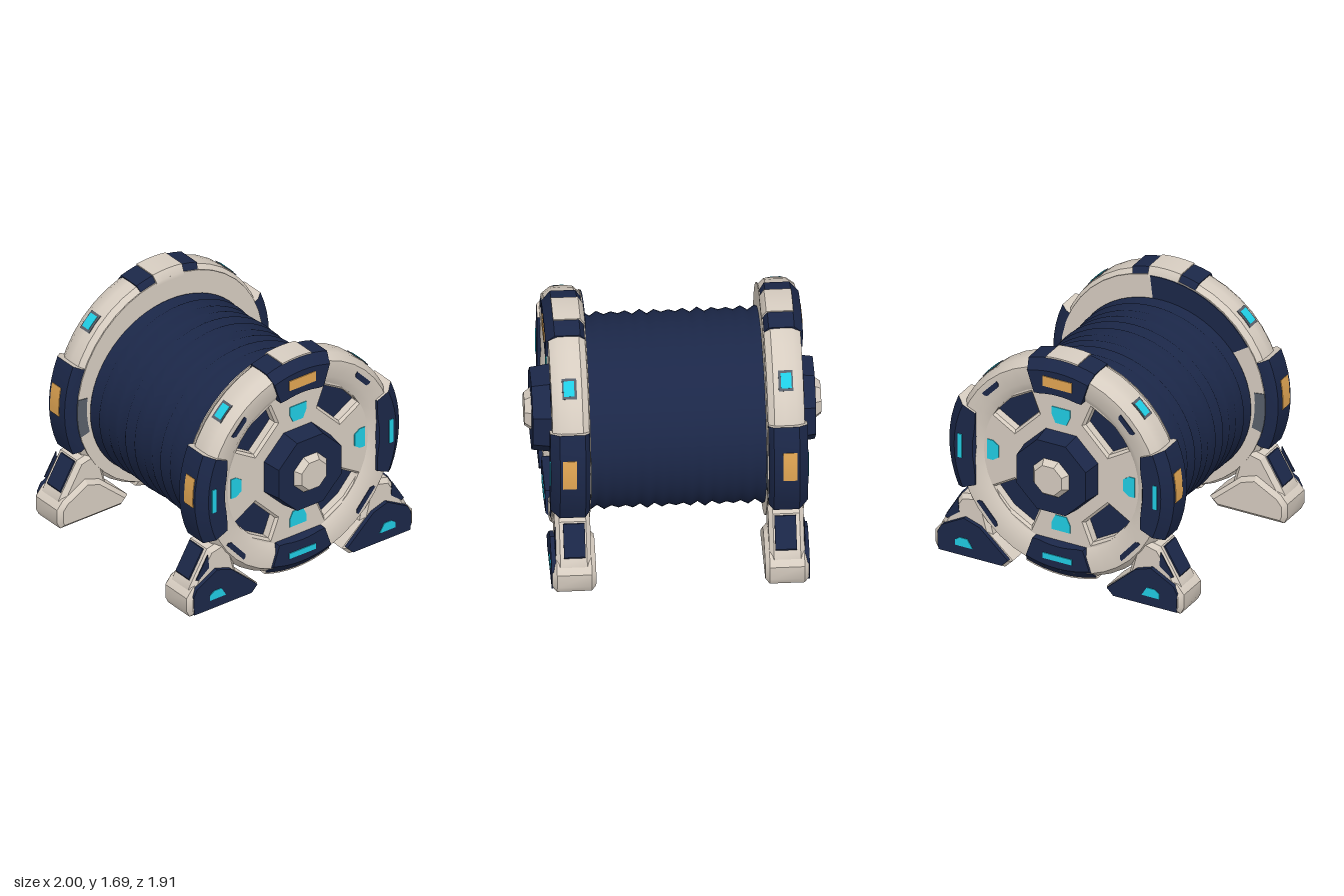
import * as THREE from 'three';
import { toCreasedNormals } from 'three/addons/utils/BufferGeometryUtils.js';

const CY = 0.86; // wheel centre height

const material = (name, color) => Object.assign(new THREE.MeshStandardMaterial({ color }), { name });

function mesh(parent, name, geometry, mat) {
  const m = new THREE.Mesh(geometry, mat);
  m.name = name;
  parent.add(m);
  return m;
}

// Closed outline of [z, y] points (with optional holes) extruded from x0 to x1
function slab(points, x0, x1, bevel = 0, holes = []) {
  const toV = ([z, y]) => new THREE.Vector2(-z, y);
  const shape = new THREE.Shape(points.map(toV));
  shape.holes = holes.map((h) => new THREE.Path(h.map(toV)));
  const g = new THREE.ExtrudeGeometry(shape, {
    depth: x1 - x0 - 2 * bevel, bevelEnabled: bevel > 0, bevelThickness: bevel,
    bevelSize: bevel, bevelOffset: -bevel, bevelSegments: 1,
  });
  g.translate(0, 0, x0 + bevel).rotateY(Math.PI / 2);
  return toCreasedNormals(g, 0.5);
}

// Profile of [radius, x] points swept round the wheel axle; angles in degrees from the top.
// A straight value cuts the inner edge along a line at that distance from the axle.
function sweep(profile, mid, half, steps, straight = 0) {
  const shape = new THREE.Shape(profile.map(([r, x]) => new THREE.Vector2(r, x)));
  const g = new THREE.ExtrudeGeometry(shape, { depth: 1, steps, bevelEnabled: false });
  const p = g.attributes.position;
  for (let i = 0; i < p.count; i++) {
    const off = THREE.MathUtils.degToRad(half * (2 * p.getZ(i) - 1));
    const a = THREE.MathUtils.degToRad(mid) + off;
    const r = Math.max(p.getX(i), straight / Math.cos(off));
    p.setXYZ(i, p.getY(i), CY + r * Math.cos(a), -r * Math.sin(a));
  }
  return toCreasedNormals(g, 0.6);
}

// Eight-sided frustum along x
function octagon(r0, r1, x0, x1) {
  const k = 1 / Math.cos(Math.PI / 8);
  const g = new THREE.CylinderGeometry(r1 * k, r0 * k, x1 - x0, 8, 1).toNonIndexed();
  g.rotateY(Math.PI / 8).rotateZ(-Math.PI / 2).translate((x0 + x1) / 2, CY - 0.007, 0);
  g.computeVertexNormals();
  return g;
}

// Bevelled cross-section of a raised rim plate
const plateProfile = (inner, outer, x) => [
  [inner, 0.62], [inner + 0.05, 0.602], [outer - 0.05, 0.602], [outer, 0.635],
  [outer, x - 0.06], [outer - 0.07, x], [inner + 0.02, x], [inner, x - 0.03],
];
// Light cover over the tread and inner bevel of a plate
const coverProfile = (r) => [[r - 0.08, 0.594], [r - 0.05, 0.594], [r, 0.627], [r, 0.81], [r - 0.03, 0.81]];
const band = (r0, r1, x0, x1) => [[r0, x0], [r1, x0], [r1, x1], [r0, x1]];

// Turned hexagonal mark: radius out from the axle, angle from the top
function mark(angle, r, wide, high, taper = 1) {
  const a = THREE.MathUtils.degToRad(angle), c = Math.cos(a), s = Math.sin(a);
  return [[-wide * taper, -high], [wide * taper, -high], [wide, 0], [wide, high], [-wide, high], [-wide, 0]]
    .map(([u, v]) => [u * c - (r + v) * s, CY + u * s + (r + v) * c]);
}

function buildFoot(wheel, s, M) {
  const foot = new THREE.Group();
  foot.name = s > 0 ? 'frontFoot' : 'backFoot';
  wheel.add(foot);
  const flip = (pts) => pts.map(([z, y]) => [z * s, y]);
  mesh(foot, 'footBase', slab(flip([
    [0.36, 0.06], [0.42, 0], [0.93, 0], [0.955, 0.05], [0.955, 0.15], [0.905, 0.21], [0.72, 0.31], [0.6, 0.27],
  ]), 0.57, 0.865, 0.03), M.cream);
  mesh(foot, 'footStrut', slab(flip([
    [0.5, 0.1], [0.93, 0.1], [0.92, 0.2], [0.885, 0.26], [0.765, 0.46], [0.6, 0.5],
  ]), 0.6, 0.84, 0.03), M.cream);
  mesh(foot, 'strutPanel', slab(flip([
    [0.8, 0.24], [0.89, 0.24], [0.899, 0.26], [0.783, 0.455], [0.74, 0.44],
  ]), 0.64, 0.785), M.navy);
  mesh(foot, 'strutSidePanel', slab(flip([
    [0.77, 0.33], [0.86, 0.26], [0.88, 0.27], [0.78, 0.435],
  ]), 0.837, 0.844), M.navy);
  mesh(foot, 'footPanel', slab(flip([
    [0.38, 0.07], [0.43, 0.02], [0.915, 0.02], [0.92, 0.16], [0.89, 0.215], [0.72, 0.308], [0.6, 0.268],
  ]), 0.835, 0.87), M.navy);
  mesh(foot, 'footLight', slab(flip([
    [0.65, 0.09], [0.785, 0.09], [0.785, 0.13], [0.75, 0.155], [0.69, 0.155],
  ]), 0.868, 0.875), M.cyan);
}

function buildWheel(M) {
  const wheel = new THREE.Group();
  mesh(wheel, 'rim', sweep([
    [0.59, 0.62], [0.77, 0.602], [0.81, 0.645], [0.815, 0.72], [0.81, 0.795], [0.77, 0.85],
    [0.65, 0.85], [0.59, 0.812],
  ], 0, 180, 40), M.cream);
  mesh(wheel, 'innerRing', sweep(band(0.56, 0.785, 0.595, 0.603), 0, 180, 40), M.cream);

  // Spoke disc with four bevelled openings over a dark floor
  const circle = (r) => Array.from({ length: 40 }, (_, i) =>
    [r * Math.cos(i * Math.PI / 20), CY + r * Math.sin(i * Math.PI / 20)]);
  const holes = [];
  for (const sz of [1, -1]) for (const sy of [1, -1]) {
    const hole = [[0.235, 0.515], [0.18, 0.375], [0.36, 0.19], [0.52, 0.285], [0.40, 0.42]]
      .map(([z, y]) => [z * sz, CY + y * sy]);
    holes.push(sz * sy > 0 ? hole.reverse() : hole);
  }
  mesh(wheel, 'spokes', slab(circle(0.64), 0.65, 0.815, 0.018, holes), M.cream);
  mesh(wheel, 'recessFloor', slab(circle(0.6), 0.61, 0.74), M.navy);

  // Hub and cap
  mesh(wheel, 'hub', octagon(0.287, 0.265, 0.79, 0.955), M.navy);
  mesh(wheel, 'hubCap', octagon(0.14, 0.105, 0.95, 1.0), M.cream);

  // Raised plates on the rim: top, bottom, front and back
  mesh(wheel, 'topPlate', sweep(plateProfile(0.56, 0.824, 0.868), 0, 18, 8, 0.56), M.navy);
  mesh(wheel, 'topCover', sweep(coverProfile(0.833), 0, 8.5, 4), M.cream);
  mesh(wheel, 'topLight', slab(mark(0, 0.67, 0.112, 0.038), 0.865, 0.874), M.orange);
  mesh(wheel, 'bottomPlate', sweep(plateProfile(0.56, 0.818, 0.868), 180, 19, 8, 0.56), M.navy);
  mesh(wheel, 'bottomCover', sweep(coverProfile(0.826), 180, 19.3, 8), M.cream);
  mesh(wheel, 'bottomLight', slab(mark(180, 0.67, 0.112, 0.021), 0.865, 0.874), M.cyan);
  for (const side of [90, -90]) {
    // Plate ends are cream, the rest navy
    mesh(wheel, 'sidePlate', sweep(plateProfile(0.635, 0.865, 0.868), side, 23.5, 8, 0.635), [M.cream, M.navy]);
    mesh(wheel, 'sideSlot', slab(mark(side, 0.75, 0.09, 0.017), 0.865, 0.874), M.cyan);
    mesh(wheel, 'sideLight', sweep(
      [[0.861, 0.695], [0.869, 0.695], [0.869, 0.79], [0.861, 0.79]], side - Math.sign(side) * 4, 7.3, 4), M.orange);
    mesh(wheel, 'innerPatch', sweep(band(0.71, 0.79, 0.59, 0.597), side + Math.sign(side) * 4, 11, 4), M.gray);
  }

  // Spoke lights
  for (const [a, r, wide, high] of [
    [0, 0.4, 0.07, 0.06], [180, 0.425, 0.07, 0.058], [90, 0.523, 0.075, 0.043], [-90, 0.523, 0.075, 0.043],
  ]) mesh(wheel, 'spokeLight', slab(mark(a, r, wide, high, 0.6), 0.812, 0.821), M.cyan);

  // Diagonal slots on the rim face, and lights on the upper tread
  for (const s of [1, -1]) {
    mesh(wheel, 'upperSlot', slab(mark(47 * s, 0.71, 0.08, 0.019, 0.8), 0.847, 0.855), M.navy);
    mesh(wheel, 'lowerSlot', slab(mark(131 * s, 0.72, 0.108, 0.018, 0.8), 0.847, 0.855), M.navy);
    mesh(wheel, 'treadFrame', sweep(band(0.81, 0.8165, 0.68, 0.778), 45 * s, 5, 3), M.gray);
    mesh(wheel, 'treadLight', sweep(band(0.812, 0.8195, 0.697, 0.768), 45 * s, 3.7, 3), M.cyan);
    buildFoot(wheel, s, M);
  }
  return wheel;
}

export function createModel() {
  const model = new THREE.Group();
  model.name = 'cableSpool';
  const M = {
    cream: material('warm cream', 0xd6ccc0),
    navy: material('deep navy', 0x1b2748),
    cyan: material('bright cyan', 0x20cde4),
    orange: material('amber', 0xe2a653),
    gray: material('slate gray', 0x585f6a),
  };

  // Wound drum with uneven ridges
  const profile = [];
  for (let i = 0; i <= 26; i++) {
    const r = 0.652 + (i % 2 ? 0.013 : -0.01) + 0.005 * Math.sin(i * 2.3);
    profile.push(new THREE.Vector2(r, -0.63 + i * 1.26 / 26));
  }
  const drum = new THREE.LatheGeometry(profile, 64);
  drum.rotateZ(-Math.PI / 2).scale(1, 0.985, 1.025).translate(0, 0.816, 0);
  mesh(model, 'woundDrum', drum, M.navy);

  // Two matching wheels, turned to face outward
  for (const side of ['left', 'right']) {
    const wheel = buildWheel(M);
    wheel.name = side + 'Wheel';
    if (side === 'right') wheel.rotation.y = Math.PI;
    else mesh(wheel, 'innerPanel', sweep(band(0.58, 0.78, 0.588, 0.596), -25, 32, 10), M.navy);
    model.add(wheel);
  }
  return model;
}
